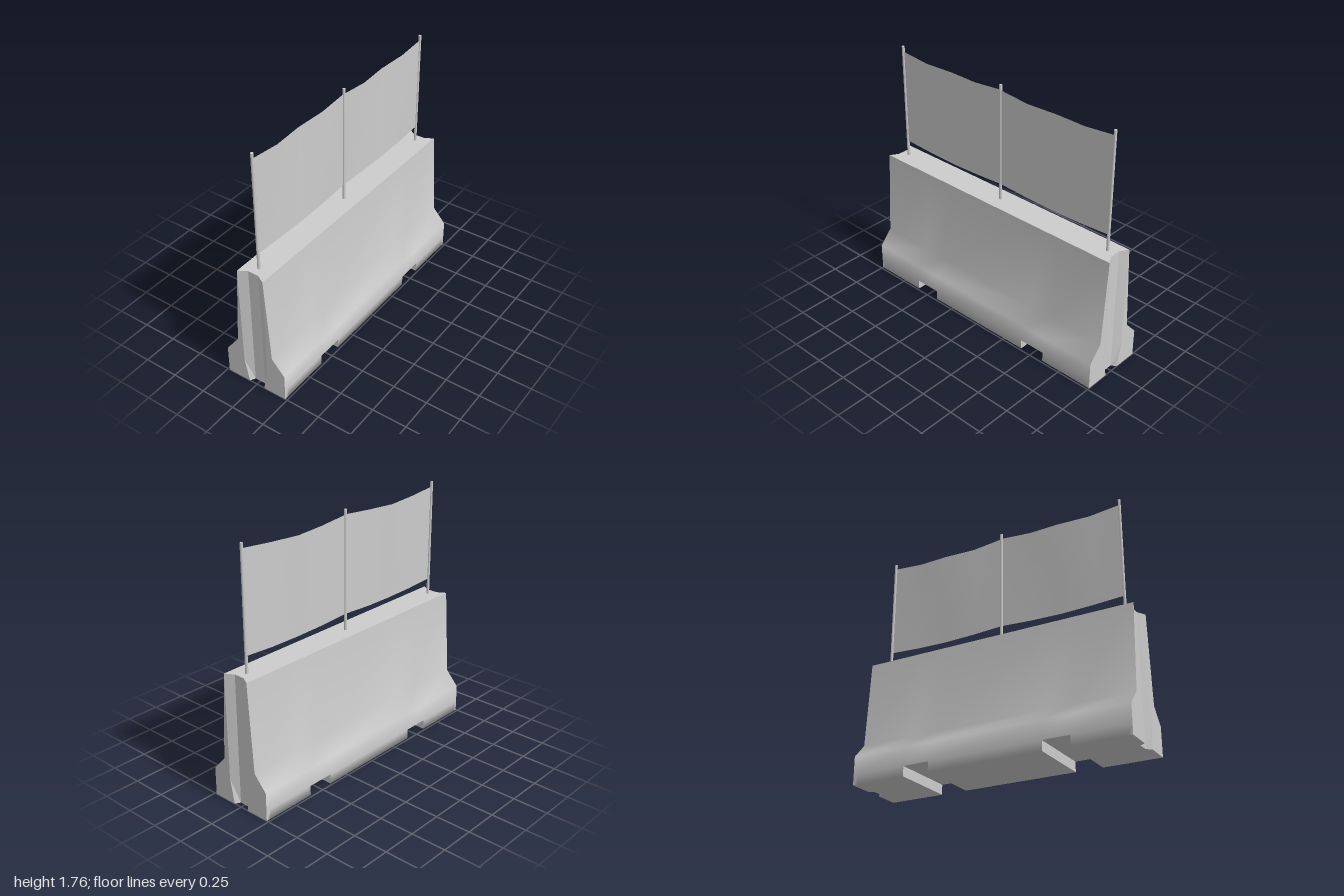
import * as THREE from 'three';

const concreteGrey = new THREE.MeshStandardMaterial({ color: 0xcccccc, side: THREE.DoubleSide });
concreteGrey.name = 'concreteGrey';

function addMesh(parent, geometry, name) {
  const mesh = new THREE.Mesh(geometry, concreteGrey);
  mesh.name = name;
  parent.add(mesh);
  return mesh;
}

// Flat polygons given for the +x, +z quarter, mirrored to all four quarters
function mirroredFaces(polygons) {
  const pos = [];
  for (const sx of [1, -1]) for (const sz of [1, -1]) for (const poly of polygons) {
    const pts = poly.map(([x, y, z]) => [x * sx, y, z * sz]);
    if (sx * sz < 0) pts.reverse();
    // keep the fan centred on the polygon's first point
    if (sx * sz < 0) pts.unshift(pts.pop());
    for (let i = 1; i < pts.length - 1; i++) pos.push(...pts[0], ...pts[i], ...pts[i + 1]);
  }
  const geo = new THREE.BufferGeometry();
  geo.setAttribute('position', new THREE.Float32BufferAttribute(pos, 3));
  geo.computeVertexNormals();
  return geo;
}

// Smooth sides and underside, swept along z, leaving out the two lifting pockets
function shellGeometry() {
  const half = [[0.1, 0.92], [0.14, 0.305], [0.235, 0.2], [0.235, 0.07], [0.235, 0]];
  const profile = [...half, ...half.map(([x, y]) => [-x, y]).reverse()];
  const stations = [-1, -0.965, -0.6, -0.41, 0.41, 0.6, 0.965, 1];
  const n = profile.length;
  const pos = [], index = [];
  for (const z of stations) for (const [x, y] of profile) pos.push(x, y, z);
  for (let j = 0; j < stations.length - 1; j++) {
    for (let i = 0; i < n - 1; i++) {
      const pocket = (j === 2 || j === 4) && i >= 3 && i <= 5;
      const endNotch = (j === 0 || j === 6) && i === 4;
      if (pocket || endNotch) continue;
      const a = j * n + i, b = a + 1, d = a + n, c = d + 1;
      index.push(a, d, c, a, c, b);
    }
  }
  const geo = new THREE.BufferGeometry();
  geo.setAttribute('position', new THREE.Float32BufferAttribute(pos, 3));
  geo.setIndex(index);
  geo.computeVertexNormals();
  return geo;
}

// Sagging fabric between two posts, billowing to -x at its upper middle
function panelGeometry() {
  const top = [1.722, 1.7, 1.697, 1.705, 1.725];
  const bottom = [1.035, 1.023, 1.018, 1.022, 1.035];
  const geo = new THREE.PlaneGeometry(0.905, 1, 4, 2);
  geo.rotateY(Math.PI / 2);
  const p = geo.attributes.position;
  for (let i = 0; i < p.count; i++) {
    const col = i % 5, t = p.getY(i) + 0.5;
    p.setY(i, THREE.MathUtils.lerp(bottom[col], top[col], t));
    p.setX(i, col === 2 ? -0.02 * t : -0.002);
  }
  geo.computeVertexNormals();
  return geo;
}

export function createModel() {
  const model = new THREE.Group();
  model.name = 'roadBarrier';

  // Concrete block
  const block = new THREE.Group();
  block.name = 'concreteBlock';
  model.add(block);
  addMesh(block, shellGeometry(), 'blockSides');

  const N = 0.965; // floor of the end channel
  const A = [0.04, 0.92, N], B = [0.04, 0, N];
  const C = [0.097, 0.55, 1], D = [0.095, 0.17, 1];
  const T = [0.1, 0.92, 1], F = [0.06, 0, 1];

  addMesh(block, mirroredFaces([[[0, 0.92, 0], [0, 0.92, N], A, T, [0.1, 0.92, 0]]]), 'blockTop');

  addMesh(block, mirroredFaces([
    [D, F, [0.235, 0, 1], [0.235, 0.2, 1], [0.14, 0.305, 1], T, C],
    [F, B, [0.235, 0, N], [0.235, 0, 1]],
  ]), 'blockEnds');

  // Vertical joint channel with splayed flanks
  addMesh(block, mirroredFaces([
    [A, B, D, C],
    [A, C, T],
    [B, F, D],
    [[0, 0, N], B, A, [0, 0.92, N]],
  ]), 'endChannels');

  // Walls and ceilings of the lifting pockets
  const w = 0.235, h = 0.07;
  addMesh(block, mirroredFaces([
    [[0, 0, 0.41], [w, 0, 0.41], [w, h, 0.41], [0, h, 0.41]],
    [[0, h, 0.6], [w, h, 0.6], [w, 0, 0.6], [0, 0, 0.6]],
    [[0, h, 0.41], [w, h, 0.41], [w, h, 0.6], [0, h, 0.6]],
  ]), 'liftingPockets');

  // Posts
  for (const z of [0.905, 0, -0.905]) {
    const post = addMesh(model, new THREE.CylinderGeometry(0.01, 0.01, 0.86, 8), 'post');
    post.position.set(-0.003, 1.33, z);
  }

  // Screen panels
  for (const z of [0.4525, -0.4525]) {
    addMesh(model, panelGeometry(), 'screenPanel').position.z = z;
  }
  return model;
}
